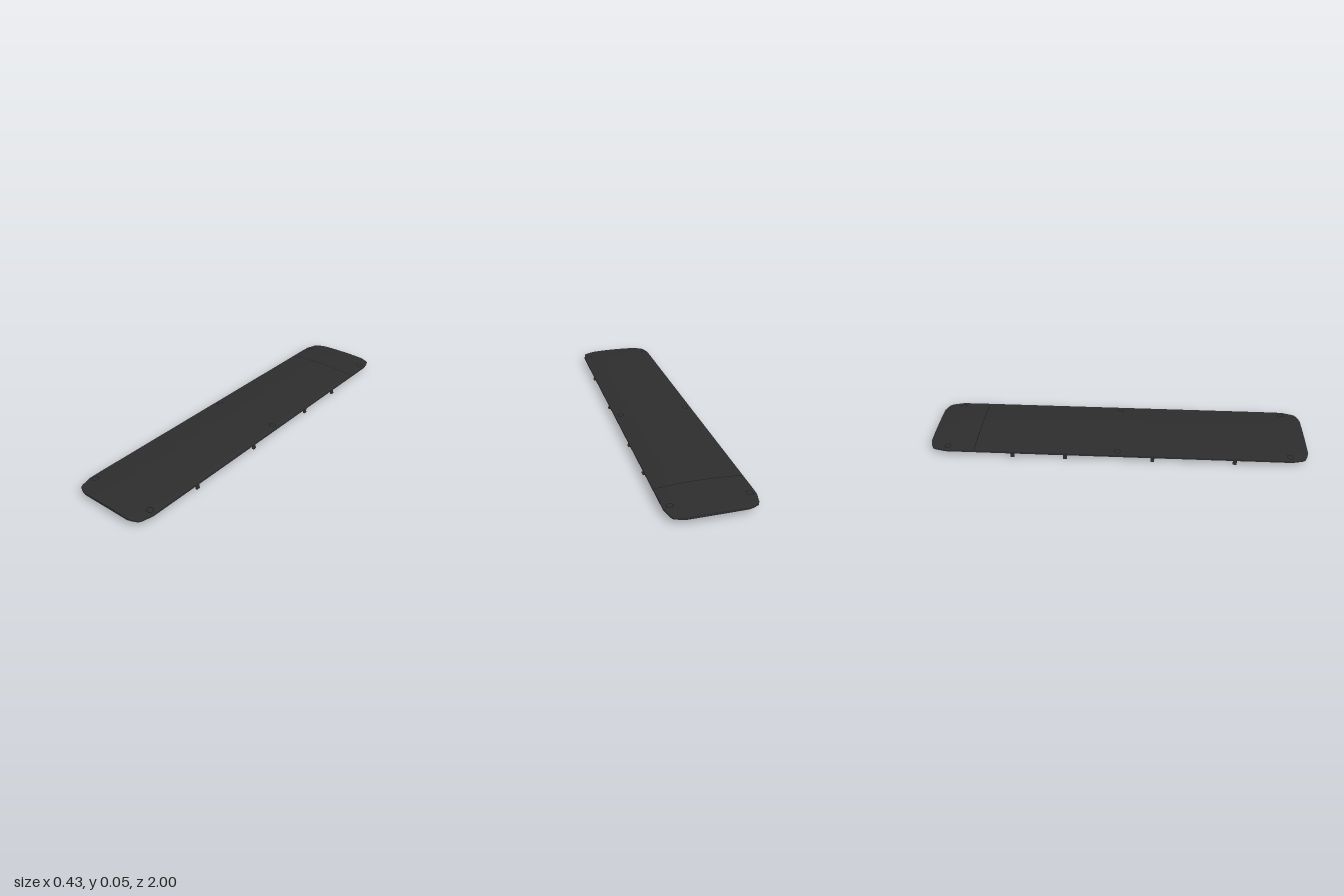
import * as THREE from 'three';
import { toCreasedNormals } from 'three/addons/utils/BufferGeometryUtils.js';

const HALF_W = 0.213;
const RIM_Y = 0.028;

// Height of the crowned top, which also dips towards both ends
function topY(x, z) {
  const t = Math.max(0, (Math.abs(z) - 0.85) / 0.15);
  return 0.05 - 0.011 * Math.pow(Math.abs(x) / HALF_W, 2.3) - 0.008 * t * t;
}

// Closed shell, hollow below, lofted from cross-sections along z
function shellGeometry() {
  // distance from the middle, half width
  const end = [[1, 0.14], [0.993, 0.165], [0.98, 0.192], [0.965, 0.2], [0.91, HALF_W], [0.85, HALF_W], [0.6, HALF_W], [0.3, HALF_W]];
  const stations = [
    ...end.map(([z, w]) => [-z, w]), [0, HALF_W],
    ...end.slice().reverse(),
  ];
  const N = 20;
  const pos = [], idx = [];
  for (const [z, w] of stations) {
    const inner = w - 0.01;
    const hollow = Math.abs(z) < 0.98;
    for (let j = 0; j <= N; j++) {
      const x = w * Math.cos(Math.PI * j / N);
      pos.push(x, topY(x, z), z);
    }
    pos.push(-w, RIM_Y, z, -inner, RIM_Y, z);
    for (let j = 0; j <= N; j++) {
      const x = -inner * Math.cos(Math.PI * j / N);
      pos.push(x, hollow ? Math.max(RIM_Y, topY(x, z) - 0.006) : RIM_Y, z);
    }
    pos.push(inner, RIM_Y, z, w, RIM_Y, z);
  }
  const M = 2 * (N + 1) + 4;
  const last = (stations.length - 1) * M;
  for (let i = 0; i < stations.length - 1; i++) {
    for (let j = 0; j < M; j++) {
      const k = (j + 1) % M;
      const a = i * M + j, b = i * M + k, c = b + M, d = a + M;
      idx.push(a, b, c, a, c, d);
    }
  }
  for (let j = 1; j < M - 1; j++) idx.push(0, j + 1, j, last, last + j, last + j + 1);
  const g = new THREE.BufferGeometry();
  g.setAttribute('position', new THREE.Float32BufferAttribute(pos, 3));
  g.setIndex(idx);
  return toCreasedNormals(g, 0.5);
}

// Bend a geometry: upper vertices follow the crown at the given offset
function followCrown(g, offset, bottomY = null) {
  const p = g.attributes.position;
  for (let i = 0; i < p.count; i++) {
    const lower = bottomY !== null && p.getY(i) < 0;
    p.setY(i, lower ? bottomY : topY(p.getX(i), p.getZ(i)) + offset);
  }
  g.computeVertexNormals();
  return g;
}

export function createModel() {
  const model = new THREE.Group();
  model.name = 'coverPanel';
  const plastic = new THREE.MeshStandardMaterial({ color: 0x2d2d2d });
  plastic.name = 'charcoal plastic';
  const groove = new THREE.MeshStandardMaterial({ color: 0x1b1b1b });
  groove.name = 'dark groove';

  function add(name, geometry, material = plastic, parent = model) {
    const mesh = new THREE.Mesh(geometry, material);
    mesh.name = name;
    parent.add(mesh);
    return mesh;
  }
  function box(name, w, h, d, x, y, z, parent) {
    add(name, new THREE.BoxGeometry(w, h, d), plastic, parent).position.set(x, y, z);
  }

  add('shell', shellGeometry());

  // Seam across the top near the back
  const seam = new THREE.PlaneGeometry(0.42, 0.004, 24, 1).rotateX(-Math.PI / 2).translate(0, 0, -0.755);
  add('seam', followCrown(seam, 0.0005), groove);

  // Stiffening ribs under the panel
  for (const z of [0.9, 0.62, 0.19, -0.27, -0.56, -0.9]) {
    const g = new THREE.BoxGeometry(0.38, 0.02, 0.007, 16, 1, 1).translate(0, 0, z);
    add('crossRib', followCrown(g, -0.004, 0.024), plastic);
  }
  for (const x of [-0.175, 0, 0.175]) {
    const length = x === 0 ? 1.92 : 1.8;
    const g = new THREE.BoxGeometry(0.007, 0.02, length, 1, 1, 24).translate(x, 0, 0);
    add('longRib', followCrown(g, -0.004, 0.024), plastic);
  }

  for (const side of [-1, 1]) {
    // Screw covers outlined on the top, with bosses below
    for (const z of [-0.9, 0, 0.9]) {
      const ring = new THREE.RingGeometry(0.014, 0.018, 24).rotateX(-Math.PI / 2).translate(side * 0.183, 0, z);
      add('screwCoverOutline', followCrown(ring, 0.0006), groove);
      const boss = add('screwBoss', new THREE.CylinderGeometry(0.014, 0.014, 0.013, 16));
      boss.position.set(side * 0.183, 0.0305, z);
    }

    // Long snap clips with an outward hook
    for (const z of [0.615, 0.185, -0.275, -0.555]) {
      const clip = new THREE.Group();
      clip.name = 'snapClip';
      clip.position.set(side * 0.203, 0, z);
      box('clipLeg', 0.008, 0.035, 0.02, 0, 0.0175, 0, clip);
      box('clipHook', 0.006, 0.006, 0.02, side * 0.005, 0.004, 0, clip);
      box('clipBrace', 0.014, 0.018, 0.008, -side * 0.009, 0.024, 0, clip);
      model.add(clip);
    }

    // Short locating tabs along the rim
    for (const z of [0.42, 0.255, -0.19, -0.36, -0.64, -0.8]) {
      box('locatingTab', 0.006, 0.018, 0.01, side * 0.2, 0.027, z);
    }
    box('locatingBlock', 0.015, 0.022, 0.02, side * 0.145, 0.031, 0.7);
    box('endTab', 0.015, 0.01, 0.01, side * 0.145, 0.026, 0.975);
    box('endTab', 0.015, 0.01, 0.01, side * 0.145, 0.026, -0.955);
  }
  return model;
}
